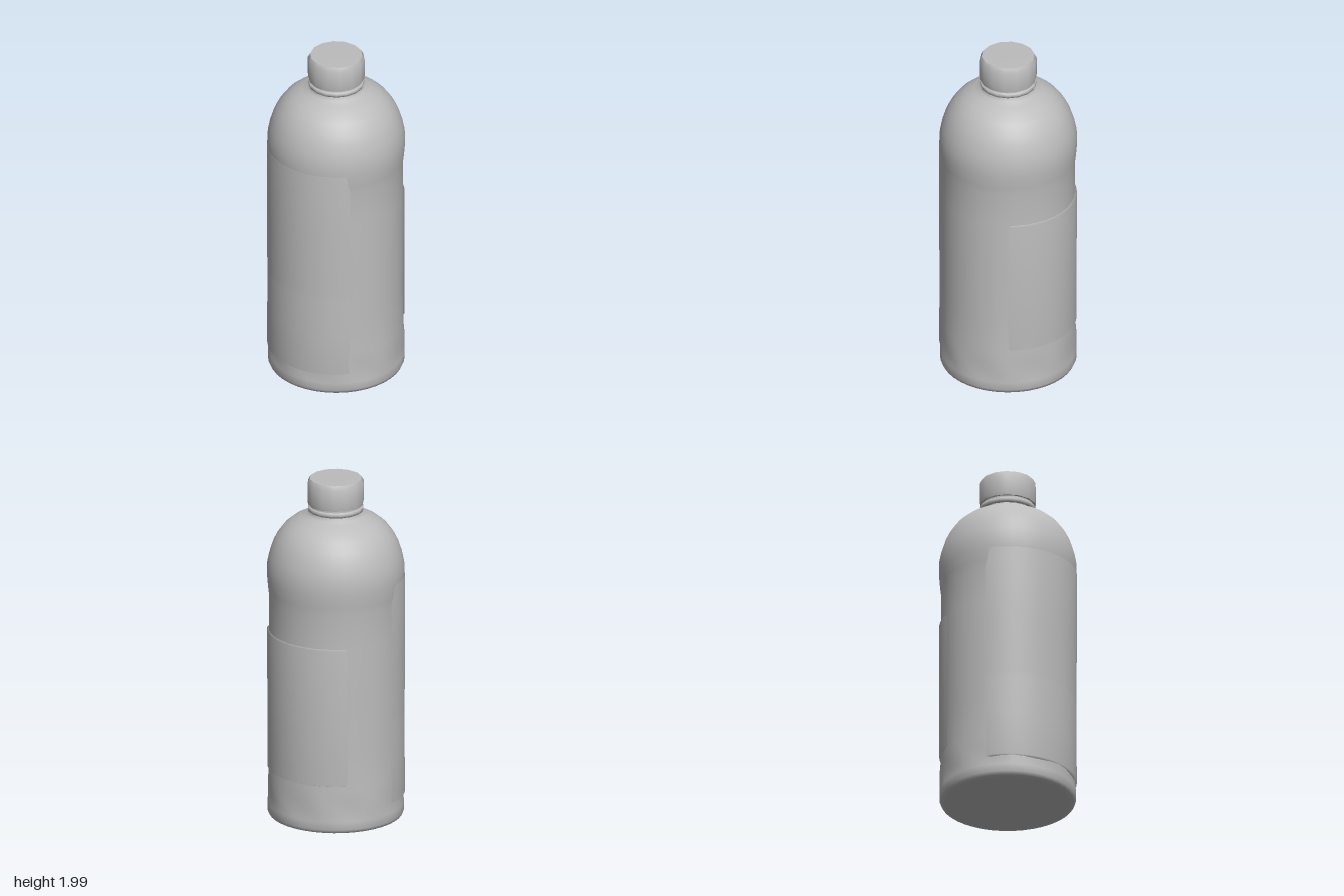
import * as THREE from 'three';
import { toCreasedNormals } from 'three/addons/utils/BufferGeometryUtils.js';

const plastic = new THREE.MeshStandardMaterial({ color: 0xbcbcbc, side: THREE.DoubleSide });
plastic.name = 'grey plastic';

const points = (list) => list.map(([r, y]) => new THREE.Vector2(r, y));

function addPart(group, name, geometry) {
  const mesh = new THREE.Mesh(geometry, plastic);
  mesh.name = name;
  group.add(mesh);
}

// Curved label wrapped round the body; its side edges sink into the wall
function labelGeometry(profile, fromDeg, toDeg) {
  const segments = 28;
  const start = THREE.MathUtils.degToRad(fromDeg);
  const sweep = THREE.MathUtils.degToRad(toDeg - fromDeg);
  const geometry = new THREE.LatheGeometry(points(profile), segments, start, sweep);
  const p = geometry.attributes.position;
  for (let i = 0; i < p.count; i++) {
    const column = Math.floor(i / profile.length);
    if (column === 0 || column === segments) {
      p.setXYZ(i, p.getX(i) * 0.965, p.getY(i), p.getZ(i) * 0.965);
    }
  }
  return geometry;
}

// Body with a domed shoulder, a step above the waist and shallow flutes at the foot
function bodyGeometry() {
  const profile = points([
    [0, 0.03], [0.2, 0.022], [0.31, 0.01], [0.35, 0.01], [0.375, 0.015], [0.384, 0.035],
    [0.384, 0.08], [0.382, 0.14], [0.382, 0.2], [0.376, 0.27], [0.374, 0.5],
    [0.376, 0.8], [0.376, 1.1], [0.374, 1.3], [0.38, 1.35], [0.386, 1.42], [0.386, 1.49],
    [0.374, 1.55], [0.355, 1.61], [0.33, 1.66], [0.293, 1.71], [0.245, 1.75],
    [0.195, 1.775], [0.16, 1.79], [0.147, 1.803], [0.147, 1.85],
  ]);
  const geometry = new THREE.LatheGeometry(profile, 40);
  const p = geometry.attributes.position;
  for (let i = 0; i < p.count; i++) {
    const x = p.getX(i), y = p.getY(i), z = p.getZ(i);
    const band = Math.max(0, 1 - Math.abs(y - 0.14) / 0.1);
    const flute = 1 - 0.025 * band * (0.5 - 0.5 * Math.cos(8 * Math.atan2(x, z)));
    p.setXYZ(i, x * flute, y, z * flute);
  }
  return toCreasedNormals(geometry, 1);
}

export function createModel() {
  const bottle = new THREE.Group();
  bottle.name = 'bottle';

  addPart(bottle, 'body', bodyGeometry());

  // Collar ring under the cap
  addPart(bottle, 'neckRing', new THREE.LatheGeometry(points([
    [0.14, 1.803], [0.155, 1.81], [0.159, 1.822], [0.157, 1.836], [0.14, 1.84],
  ]), 16));

  // Screw cap with a small bevel round the top
  addPart(bottle, 'cap', toCreasedNormals(new THREE.LatheGeometry(points([
    [0.13, 1.848], [0.158, 1.85], [0.161, 1.87], [0.161, 1.975], [0.148, 1.999], [0, 2],
  ]), 14), 0.9));

  // Front label, with a faint crease across it
  addPart(bottle, 'frontLabel', labelGeometry([
    [0.37, 0.13], [0.388, 0.14], [0.387, 0.4], [0.387, 0.62], [0.384, 0.64], [0.387, 0.66],
    [0.388, 1.0], [0.389, 1.42], [0.372, 1.432],
  ], -68, 57));

  // Back label, shorter than the front one
  addPart(bottle, 'backLabel', labelGeometry([
    [0.365, 0.285], [0.384, 0.295], [0.384, 0.7], [0.385, 1.1], [0.366, 1.112],
  ], 135, 247));

  return bottle;
}
